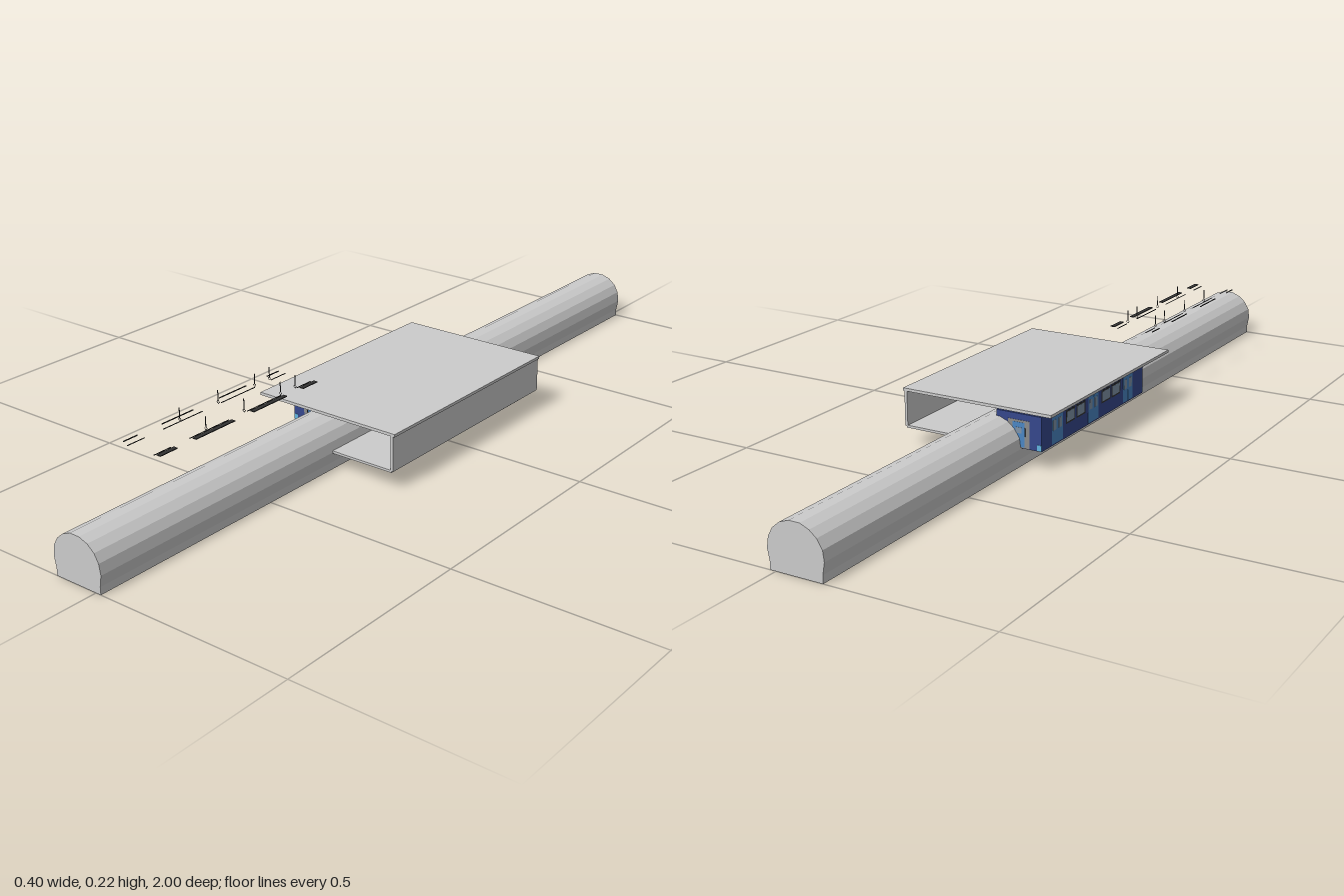
import * as THREE from 'three';

const mat = (color) => new THREE.MeshStandardMaterial({ color, flatShading: true, side: THREE.DoubleSide });
const grey = mat(0xcccccc);
const navy = mat(0x35478c);
const blue = mat(0x4a86c4);
const cyan = mat(0x62b4e0);
const glass = mat(0x7f93a8);
const frameGrey = mat(0x8c8c8c);
const dark = mat(0x333333);

// Box given by its min and max limits on each axis
function box(parent, name, material, [x0, x1], [y0, y1], [z0, z1]) {
  const mesh = new THREE.Mesh(new THREE.BoxGeometry(x1 - x0, y1 - y0, z1 - z0), material);
  mesh.position.set((x0 + x1) / 2, (y0 + y1) / 2, (z0 + z1) / 2);
  mesh.name = name;
  parent.add(mesh);
  return mesh;
}

function makeGroup(parent, name) {
  const g = new THREE.Group();
  g.name = name;
  parent.add(g);
  return g;
}

// Horseshoe-shaped tunnel running the full length
function buildTunnel(parent) {
  const profile = [
    [-0.113, 0], [0.014, 0], [0.014, 0.018], [0.019, 0.045], [0.015, 0.07], [0.004, 0.09],
    [-0.014, 0.105], [-0.037, 0.113], [-0.063, 0.113], [-0.085, 0.104], [-0.102, 0.09],
    [-0.115, 0.069], [-0.118, 0.045], [-0.113, 0.018],
  ].map(([x, y]) => new THREE.Vector2(x, y));
  const geo = new THREE.ExtrudeGeometry(new THREE.Shape(profile), { depth: 2, bevelEnabled: false });
  const tunnel = new THREE.Mesh(geo.translate(0, 0, -1), grey);
  tunnel.name = 'tunnel';
  parent.add(tunnel);
}

// Roof, side wall, platform floor and a row of columns
function buildStation(parent) {
  const station = makeGroup(parent, 'station');
  const z = [-0.295, 0.292];
  box(station, 'roof', grey, [-0.198, 0.197], [0.132, 0.139], z);
  box(station, 'sideWall', grey, [0.186, 0.193], [0.047, 0.132], z);
  box(station, 'platform', grey, [-0.045, 0.188], [0.043, 0.049], z);
  for (let i = 0; i < 5; i++) {
    const column = new THREE.Mesh(new THREE.CylinderGeometry(0.009, 0.009, 0.083, 8), grey);
    column.position.set(-0.034, 0.0905, -0.22 + i * 0.11);
    column.name = 'column';
    station.add(column);
  }
}

const doorZ = [-0.22, -0.05, 0.125];
const windowBays = [[-0.183, -0.087], [-0.013, 0.088]];

// Railway car with doors and windows on both sides and a door at each end
function buildTrain(parent) {
  const train = makeGroup(parent, 'train');
  const cx = -0.1125;
  const half = 0.0585;
  const ends = [-0.29, 0.205];
  box(train, 'carBody', navy, [cx - half, cx + half], [0.047, 0.128], ends);

  for (const side of [-1, 1]) {
    // Thin panel lying on one side of the car
    const panel = (name, m, y, z, out) => {
      const a = cx + side * (half - 0.001);
      const b = cx + side * (half + out);
      box(train, name, m, [Math.min(a, b), Math.max(a, b)], y, z);
    };
    for (const z of doorZ) {
      for (const leaf of [-1, 1]) {
        const c = z + leaf * 0.0125;
        panel('sideDoor', blue, [0.05, 0.115], [c - 0.012, c + 0.012], 0.0006);
        panel('doorWindow', glass, [0.082, 0.106], [c - 0.007, c + 0.007], 0.001);
      }
    }
    for (const [z0, z1] of windowBays) {
      const step = (z1 - z0) / 2;
      for (let i = 0; i < 2; i++) {
        const z = z0 + i * step;
        panel('windowFrame', dark, [0.08, 0.112], [z + 0.003, z + step - 0.003], 0.0005);
        panel('sideWindow', glass, [0.084, 0.108], [z + 0.007, z + step - 0.007], 0.001);
      }
    }
  }

  // End doors with frame, window and handle
  ends.forEach((z, i) => {
    const s = i ? 1 : -1;
    const layer = (d) => [Math.min(z - s * 0.001, z + s * d), Math.max(z - s * 0.001, z + s * d)];
    box(train, 'endFrame', frameGrey, [-0.14, -0.085], [0.048, 0.113], layer(0.0006));
    box(train, 'endDoor', blue, [-0.128, -0.097], [0.05, 0.108], layer(0.0012));
    box(train, 'endWindow', glass, [-0.12, -0.105], [0.082, 0.096], layer(0.0018));
    box(train, 'endHandle', dark, [-0.13, -0.128], [0.076, 0.096], layer(0.002));
    box(train, 'endCornerPanel', cyan, [-0.171, -0.16], [0.048, 0.062], layer(0.0008));
  });
}

// Thin rails, straps and hangers floating in two mirrored rows
function buildRails(parent) {
  const bays = [[0.255, 0.305], [0.36, 0.47], [0.53, 0.65], [0.705, 0.755]];
  const hangers = [0.31, 0.36, 0.48, 0.6];
  for (const side of [-1, 1]) {
    const row = makeGroup(parent, side < 0 ? 'rightRails' : 'leftRails');
    const x = -0.113 + side * 0.039;
    for (const [z0, z1] of bays) {
      const strip = box(row, 'luggageRack', dark,
        side > 0 ? [-0.065, -0.054] : [-0.172, -0.165], [0.188, 0.19], [z0, z1]);
      if (side < 0) strip.scale.set(0.3, 1, 0.8);
      box(row, 'rail', dark, [x - 0.0008, x + 0.0008], [0.185, 0.1865], [z0, z1]);
    }
    for (const z of hangers) {
      box(row, 'hanger', dark, [x - 0.0008, x + 0.0008], [0.195, 0.219], [z - 0.0008, z + 0.0008]);
      const ring = new THREE.Mesh(new THREE.TorusGeometry(0.004, 0.0008, 4, 4), dark);
      ring.position.set(x, 0.191, z);
      ring.name = 'strapRing';
      row.add(ring);
    }
  }
}

export function createModel() {
  const model = new THREE.Group();
  model.name = 'metroStation';
  buildTunnel(model);
  buildStation(model);
  buildTrain(model);
  buildRails(model);
  return model;
}
